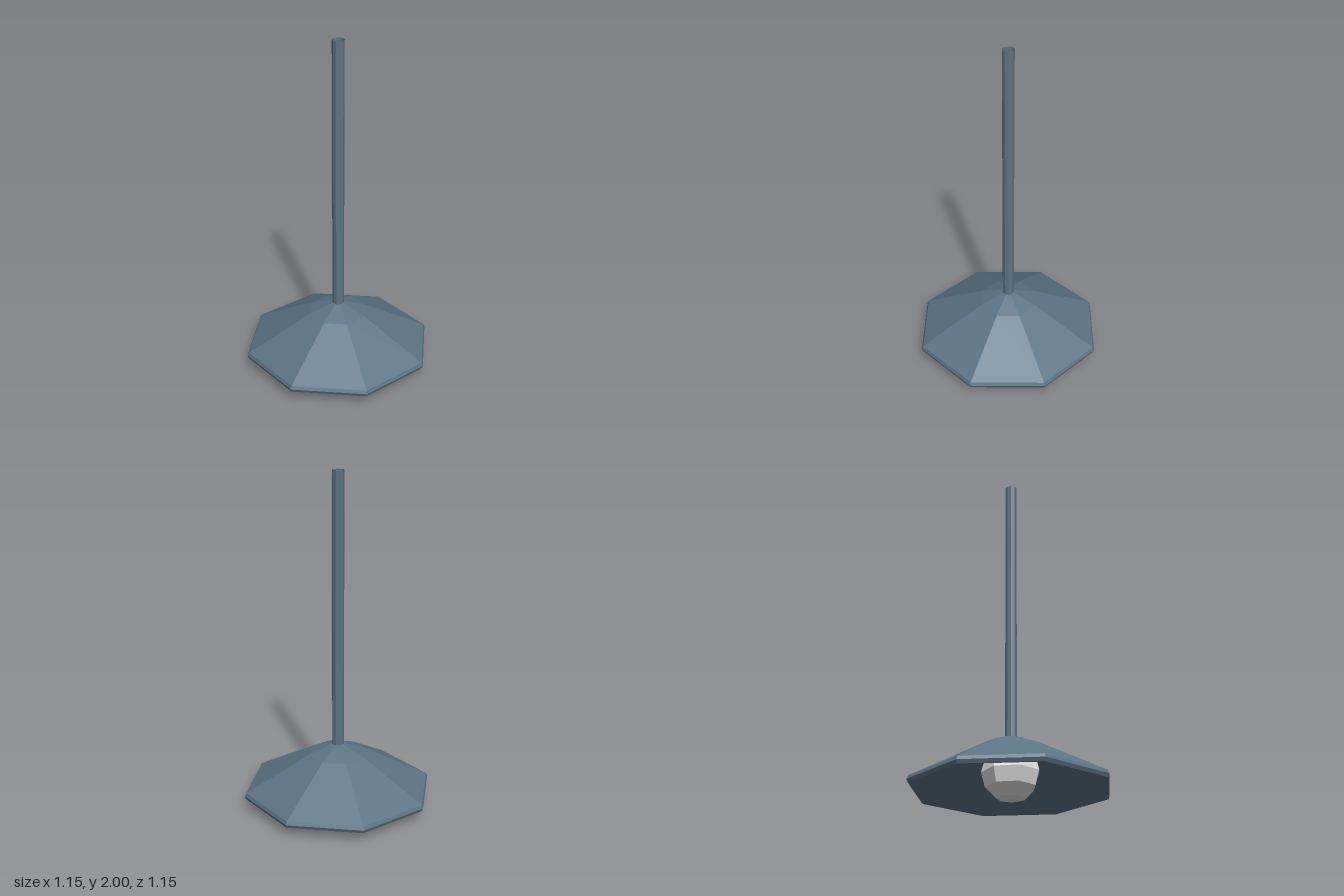
import * as THREE from 'three';

export function createModel() {
  const model = new THREE.Group();
  model.name = 'pendantLamp';

  const slate = new THREE.MeshStandardMaterial({ color: 0x5c7384, flatShading: true, side: THREE.DoubleSide });
  slate.name = 'slateBlueMetal';
  const white = new THREE.MeshStandardMaterial({ color: 0xe0e0e0, flatShading: true });
  white.name = 'whiteGlass';

  const add = (name, geometry, material, y = 0) => {
    const mesh = new THREE.Mesh(geometry, material);
    mesh.name = name;
    mesh.position.y = y;
    model.add(mesh);
  };
  const lathe = (profile, sides) =>
    new THREE.LatheGeometry(profile.map(([r, y]) => new THREE.Vector2(r, y)), sides);

  // Eight-sided thick shade: inner wall downwards, bevelled rim, outer wall upwards
  add('shade', lathe([
    [0.034, 0.328], [0.168, 0.275], [0.558, 0.062],
    [0.566, 0.062], [0.575, 0.082], [0.566, 0.102],
    [0.18, 0.31], [0.034, 0.366],
  ], 8), slate);

  // Hollow hanging rod, open at both ends
  const rodBottom = 0.335;
  const rodLength = 2 - rodBottom;
  add('rod', new THREE.CylinderGeometry(0.035, 0.035, rodLength, 10, 1, true), slate, rodBottom + rodLength / 2);

  // Faceted bulb
  const bulbRadius = 0.164;
  add('bulb', new THREE.SphereGeometry(bulbRadius, 7, 6), white, bulbRadius);

  return model;
}
